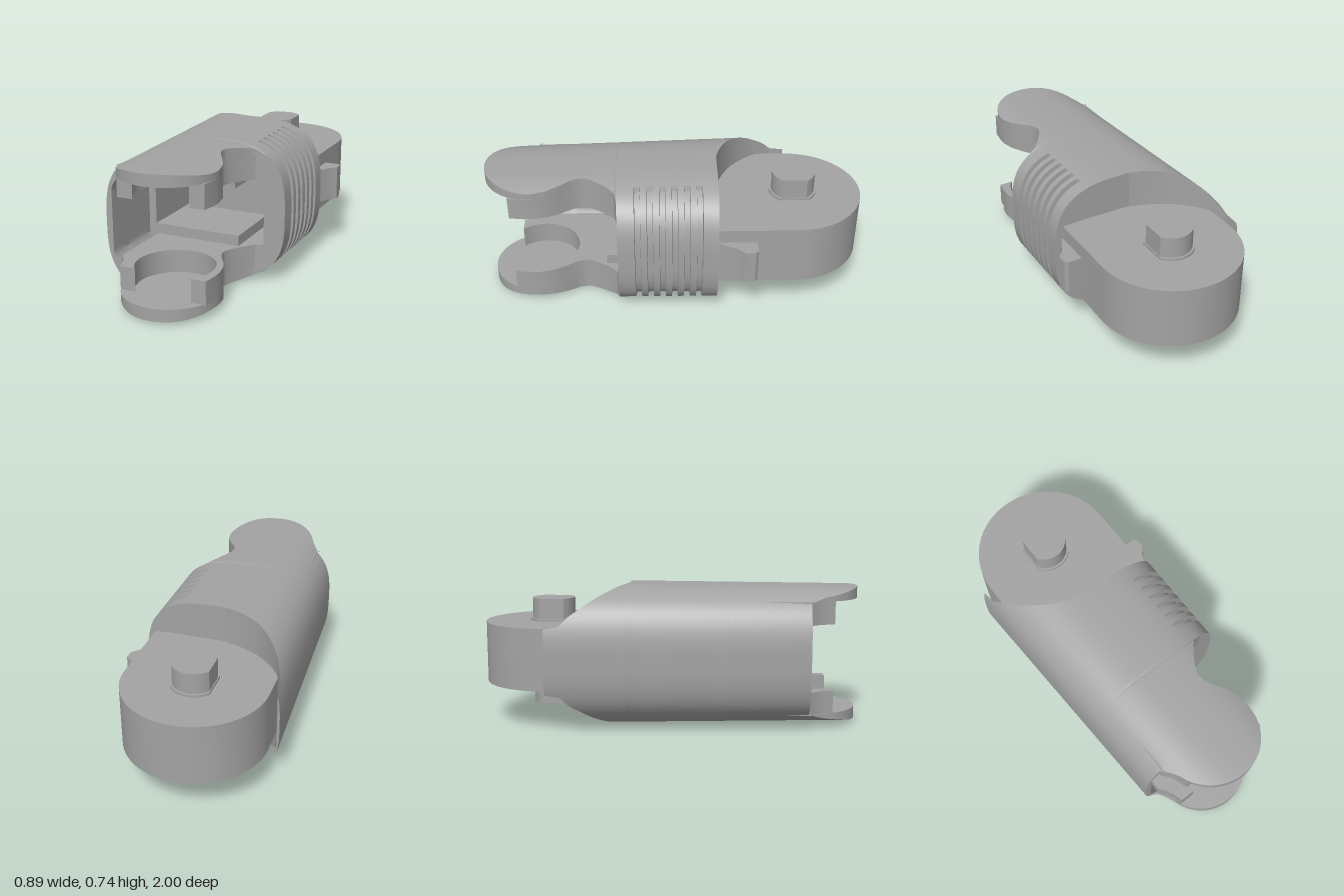
import * as THREE from 'three';
import { toCreasedNormals } from 'three/addons/utils/BufferGeometryUtils.js';

const CY = 0.373, POWER = 3;
const gray = new THREE.MeshStandardMaterial({ color: 0xa3a3a3 });
gray.name = 'plain gray';

// piecewise linear lookup in [z, value] pairs
function lookup(table, z) {
  for (let i = 1; i < table.length; i++) {
    const [z0, v0] = table[i - 1], [z1, v1] = table[i];
    if (z <= z1) return v0 + (v1 - v0) * (z - z0) / (z1 - z0);
  }
  return table[table.length - 1][1];
}

// tapering rounded section of the housing
function section(z) {
  const left = -0.417 + 0.045 * z, right = 0.395;
  return { cx: (left + right) / 2, hx: (right - left) / 2, hy: 0.371 - 0.013 * (z + 0.22) / 1.22 };
}
function outerArc(z, xMax, n, groove = 1) {
  const { cx, hx, hy } = section(z);
  const c = THREE.MathUtils.clamp((xMax - cx) / hx, -1, 1);
  const a0 = Math.acos(Math.sign(c) * Math.abs(c) ** (POWER / 2));
  const soft = v => Math.sign(v) * Math.abs(v) ** (2 / POWER);
  return Array.from({ length: n + 1 }, (_, i) => {
    const a = a0 + (2 * Math.PI - 2 * a0) * i / n;
    const x = soft(Math.cos(a)) * hx, y = soft(Math.sin(a)) * hy;
    const k = cx + x > 0.21 ? groove : 1;
    return [cx + x * k, CY + y * k];
  });
}
// evenly spaced points along a polyline
function resample(points, n) {
  const path = new THREE.CurvePath();
  for (let i = 1; i < points.length; i++)
    path.add(new THREE.LineCurve(new THREE.Vector2(...points[i - 1]), new THREE.Vector2(...points[i])));
  return Array.from({ length: n + 1 }, (_, i) => path.getPoint(i / n).toArray());
}

// skin stations { z, outer, inner } into a closed solid
function loft(stations) {
  const pos = [], index = [], n = stations[0].outer.length, L = 2 * n;
  for (const { z, outer, inner } of stations)
    for (const [x, y] of [...outer, ...[...inner].reverse()]) pos.push(x, y, z);
  for (let i = 0; i < stations.length - 1; i++)
    for (let j = 0; j < L; j++) {
      const a = i * L + j, b = i * L + (j + 1) % L;
      index.push(a, b, b + L, a, b + L, a + L);
    }
  const end = (stations.length - 1) * L;
  for (let k = 0; k < n - 1; k++) {
    const a = k, b = k + 1, c = L - 2 - k, d = L - 1 - k;
    index.push(a, c, b, a, d, c);
    index.push(end + a, end + b, end + c, end + a, end + c, end + d);
  }
  const g = new THREE.BufferGeometry();
  g.setAttribute('position', new THREE.Float32BufferAttribute(pos, 3));
  g.setIndex(index);
  return toCreasedNormals(g, 0.5);
}

// upright solid from an outline in x and z
function upright(points, y0, y1) {
  const shape = new THREE.Shape(points.map(([x, z]) => new THREE.Vector2(x, -z)));
  const g = new THREE.ExtrudeGeometry(shape, { depth: y1 - y0, bevelEnabled: false });
  return toCreasedNormals(g.rotateX(-Math.PI / 2).translate(0, y0, 0), 0.5);
}
const arc = (cx, cz, r, a0, a1, n) => Array.from({ length: n + 1 }, (_, i) => {
  const a = a0 + (a1 - a0) * i / n;
  return [cx + r * Math.cos(a), cz + r * Math.sin(a)];
});
const range = (a, b, n) => Array.from({ length: n + 1 }, (_, i) => a + (b - a) * i / n);

export function createModel() {
  const model = new THREE.Group();
  const add = (name, geometry) => {
    const mesh = new THREE.Mesh(geometry, gray);
    mesh.name = name;
    model.add(mesh);
  };
  const box = (name, x0, x1, y0, y1, z0, z1) =>
    add(name, new THREE.BoxGeometry(x1 - x0, y1 - y0, z1 - z0)
      .translate((x0 + x1) / 2, (y0 + y1) / 2, (z0 + z1) / 2));

  // sleeve with six grip grooves
  const cavity = resample([[0.28, 0.375], [0.28, 0.55], [-0.36, 0.55], [-0.36, 0.2], [0.28, 0.2], [0.28, 0.375]], 96);
  const ring = (z, groove) => ({ z, outer: outerArc(z, 1, 96, groove), inner: cavity });
  const sleeve = [ring(-0.22)];
  for (let i = 0; i < 6; i++) {
    const z = -0.14 + i * 0.064;
    sleeve.push(ring(z), ring(z + 0.002, 0.94), ring(z + 0.03, 0.94), ring(z + 0.032));
  }
  sleeve.push(ring(0.3));
  add('groovedSleeve', loft(sleeve));

  // open front shell with a waist on one side
  const waist = [[0.3, 0.3], [0.315, 0.24], [0.36, 0.2], [0.42, 0.16], [0.46, 0.14], [0.49, 0.138],
    [0.53, 0.15], [0.6, 0.195], [0.66, 0.225], [0.73, 0.24]];
  add('frontShell', loft(range(0.3, 0.73, 32).map(z => {
    const x = lookup(waist, z);
    return {
      z, outer: outerArc(z, x, 80),
      inner: resample([[x, 0.67], [-0.27, 0.67], [-0.35, 0.55], [-0.35, 0.2], [-0.27, 0.08], [x, 0.08]], 80),
    };
  })));

  // rear side guard, cut back around the hinge
  const guardEdge = [[-0.63, -0.432], [-0.55, -0.425], [-0.5, -0.402], [-0.45, -0.38], [-0.4, -0.345],
    [-0.35, -0.3], [-0.3, -0.24], [-0.26, -0.165], [-0.235, -0.1], [-0.22, -0.04]];
  add('rearGuard', loft(range(-0.63, -0.22, 24).map(z => {
    const x = lookup(guardEdge, z), outer = outerArc(z, x, 48);
    return { z, outer, inner: outer.map(([, y]) => [x, y]) };
  })));

  // prong tips: thin rounded caps above and below
  const tipLeft = [[0.73, -0.32], [0.745, -0.295], [0.78, -0.272], [0.82, -0.25]];
  for (const side of [1, -1]) {
    const flat = side > 0 ? 0.67 : 0.08;
    add(side > 0 ? 'upperProngTip' : 'lowerProngTip', loft(range(0, Math.PI / 2, 24).map(t => {
      const z = 0.73 + 0.27 * Math.sin(t), { cx, hx, hy } = section(z);
      const half = Math.sqrt(Math.max(0, 0.0625 - (z - 0.75) ** 2));
      const x0 = z < 0.82 ? lookup(tipLeft, z) : -0.01 - half, x1 = -0.01 + half;
      const xs = side > 0 ? range(x1, x0, 24) : range(x0, x1, 24);
      const outer = xs.map(x => {
        const h = hy * (1 - Math.min(1, Math.abs((x - cx) / hx)) ** POWER) ** (1 / POWER);
        return [x, CY + side * Math.max(h, Math.abs(flat - CY))];
      });
      return { z, outer, inner: xs.map(x => [x, flat]) };
    })));
  }

  // inner prong layers with round sockets open to the front
  const socket = [
    [-0.3, 0.3], ...waist.map(([z, x]) => [x, z]), [0.24, 0.78], [0.23, 0.86],
    ...arc(0, 0.73, 0.2, 0.708, 0.708 - Math.PI - 1.416, 32),
    [-0.235, 0.86], [-0.25, 0.81], [-0.27, 0.77], [-0.3, 0.735],
  ];
  add('upperSocket', upright(socket, 0.55, 0.672));
  add('lowerSocket', upright(socket, 0.078, 0.2));

  // inside of the cavity
  box('cavityBack', -0.37, 0.29, 0.19, 0.56, -0.215, 0);
  box('lowerRail', -0.36, 0.17, 0.19, 0.255, -0.05, 0.37);
  box('upperRail', -0.36, 0.15, 0.505, 0.56, -0.05, 0.37);
  box('sideRail', -0.37, -0.31, 0.2, 0.55, -0.05, 0.37);
  box('railStep', -0.32, 0.07, 0.494, 0.51, -0.05, 0.35);

  // rear hinge tongue
  add('hingeTongue', upright([[0.35, -0.15], [-0.39, -0.15],
    ...arc(-0.02, -0.63, 0.37, Math.PI, 2 * Math.PI, 32)], 0.215, 0.54));

  // hinge pins with flat sides and a slight foot
  const pin = (w, r) => {
    const a = Math.acos(w / r);
    return [...arc(-0.02, -0.635, r, a, Math.PI - a, 10), ...arc(-0.02, -0.635, r, Math.PI + a, 2 * Math.PI - a, 10)];
  };
  add('upperPin', upright(pin(0.095, 0.115), 0.53, 0.662));
  add('upperPinFoot', upright(pin(0.1, 0.127), 0.53, 0.552));
  add('lowerPin', upright([...pin(0.095, 0.115),
    [0.075, -0.69], [0.025, -0.69], [0.025, -0.58], [0.075, -0.58]], 0.09, 0.22));
  add('lowerPinFoot', upright(pin(0.1, 0.127), 0.203, 0.22));

  // stop lug on the side of the tongue
  add('stopLug', upright([[0.33, -0.42], [0.425, -0.42], [0.44, -0.405], [0.443, -0.355], [0.405, -0.315],
    [0.38, -0.26], [0.355, -0.215], [0.33, -0.215]], 0.283, 0.467));

  return model;
}
